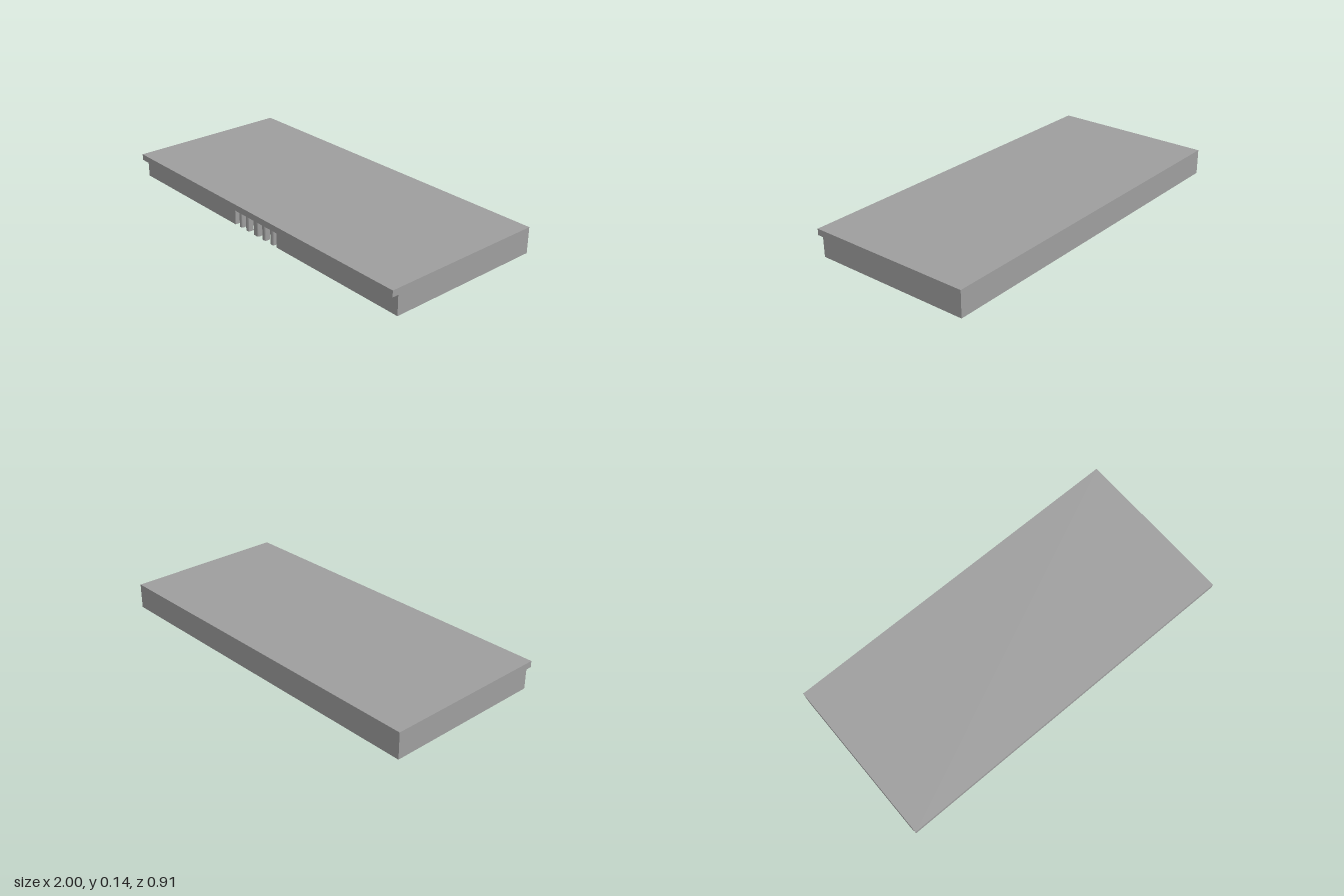
import * as THREE from 'three';
import { toCreasedNormals } from 'three/addons/utils/BufferGeometryUtils.js';

const material = new THREE.MeshStandardMaterial({ color: 0x9e9e9e });

// Upright prism from a plan shape (drawn with y = -z) between two heights
function prism(name, shape, y0, y1) {
  const geometry = new THREE.ExtrudeGeometry(shape, { depth: y1 - y0, bevelEnabled: false, curveSegments: 6 });
  geometry.rotateX(-Math.PI / 2).translate(0, y0, 0);
  const mesh = new THREE.Mesh(toCreasedNormals(geometry, Math.PI / 6), material);
  mesh.name = name;
  return mesh;
}

// Plan shape from corners [x, z]
const plan = (points) => new THREE.Shape(points.map(([x, z]) => new THREE.Vector2(x, -z)));

// Plan rectangle with rounded corners
function roundedPlan(x0, x1, z0, z1, r) {
  const shape = new THREE.Shape();
  shape.absarc(x1 - r, -z0 - r, r, 0, Math.PI / 2);
  shape.absarc(x0 + r, -z0 - r, r, Math.PI / 2, Math.PI);
  shape.absarc(x0 + r, -z1 + r, r, Math.PI, Math.PI * 1.5);
  shape.absarc(x1 - r, -z1 + r, r, Math.PI * 1.5, Math.PI * 2);
  return shape;
}

export function createModel() {
  const group = new THREE.Group();
  group.name = 'slab';
  const back = -0.457, lipFront = 0.457, bodyFront = 0.423;
  const lipY = 0.106, top = 0.14;
  const notchLeft = 0.167, notchRight = -0.17, notchBack = 0.361;

  // Lower body with a shallow notch in the middle of its front edge
  group.add(prism('body', plan([
    [-1, bodyFront], [notchRight, bodyFront], [notchRight, notchBack],
    [notchLeft, notchBack], [notchLeft, bodyFront], [1, bodyFront],
    [1, back], [-1, back],
  ]), 0, lipY));

  // Top plate overhanging the front
  group.add(prism('topPlate', plan([[-1, lipFront], [1, lipFront], [1, back], [-1, back]]), lipY, top));

  // Row of connector pins hanging in the notch, the middle one wider
  const pins = new THREE.Group();
  pins.name = 'connectorPins';
  const spans = [[-0.14, -0.115], [-0.086, -0.058], [-0.021, 0.018], [0.048, 0.077], [0.112, 0.141]];
  for (const [x0, x1] of spans) {
    pins.add(prism('pin', roundedPlan(x0, x1, bodyFront - 0.035, bodyFront, 0.009), 0, lipY));
  }
  group.add(pins);
  return group;
}
